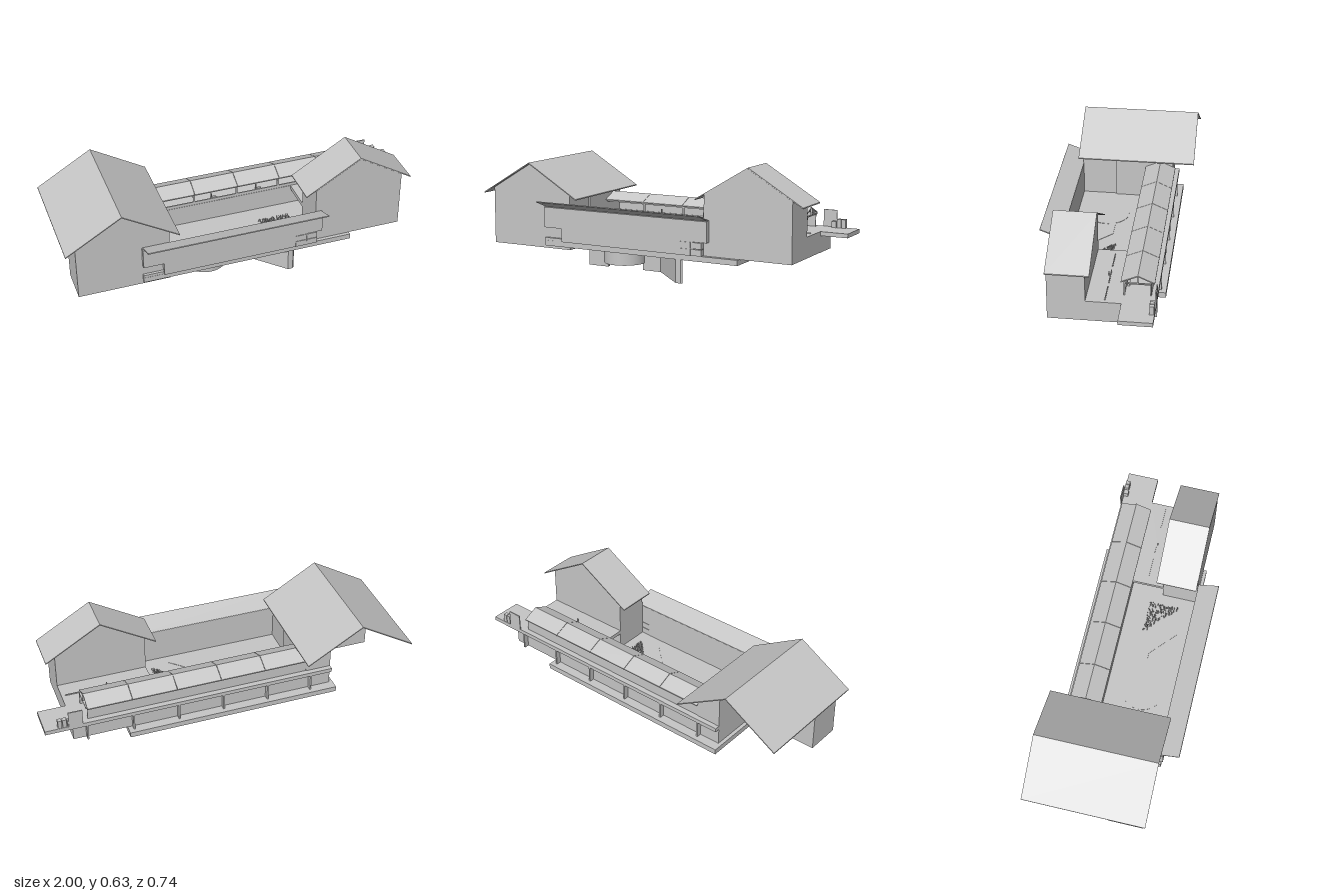
import * as THREE from 'three';

const grey = new THREE.MeshStandardMaterial({ color: 0xc6c6c6 });
grey.name = 'modelGrey';

export function createModel() {
  const root = new THREE.Group();
  root.name = 'courtyardBuilding';

  const add = (name, geo, parent = root) => {
    const m = new THREE.Mesh(geo, grey);
    m.name = name;
    parent.add(m);
    return m;
  };
  const group = (name) => {
    const g = new THREE.Group();
    g.name = name;
    root.add(g);
    return g;
  };
  // box given by its limits on each axis
  const box = (name, x0, x1, y0, y1, z0, z1, parent) =>
    add(name, new THREE.BoxGeometry(x1 - x0, y1 - y0, z1 - z0)
      .translate((x0 + x1) / 2, (y0 + y1) / 2, (z0 + z1) / 2), parent);
  const extrude = (pts, depth) => new THREE.ExtrudeGeometry(
    new THREE.Shape(pts.map(([a, b]) => new THREE.Vector2(a, b))), { depth, bevelEnabled: false });
  // (x, y) outline swept along z
  const prismZ = (name, pts, z0, z1, parent) =>
    add(name, extrude(pts, z1 - z0).translate(0, 0, z0), parent);
  // (z, y) outline swept along x
  const prismX = (name, pts, x0, x1, parent) =>
    add(name, extrude(pts, x1 - x0).rotateY(-Math.PI / 2).translate(x1, 0, 0), parent);
  // (x, z) outline swept up y
  const prismY = (name, pts, y0, y1, parent) =>
    add(name, extrude(pts.map(([x, z]) => [x, -z]), y1 - y0).rotateX(-Math.PI / 2).translate(0, y0, 0), parent);
  const chevron = (c, half, eave, top, t) => [
    [c - half, eave], [c, top], [c + half, eave], [c + half, eave - t], [c, top - t], [c - half, eave - t]];

  // base slab
  box('baseSlab', -0.6, 0.56, 0.126, 0.155, -0.305, 0.275);

  // two gabled houses
  const house = (name, c, top, wall, z0, z1, rz0, rz1) => {
    const g = group(name);
    const [x0, x1, y0] = wall;
    const under = (x) => top - 0.006 - 0.6 * Math.abs(x - c);
    prismZ('houseWalls', [[x0, y0], [x1, y0], [x1, under(x1)], [c, under(c)], [x0, under(x0)]], z0, z1, g);
    prismZ('gableRoof', chevron(c, 0.3, top - 0.18, top, 0.006), rz0, rz1, g);
    return g;
  };
  const left = house('leftHouse', -0.7, 0.574, [-0.945, -0.45, 0.11], 0.068, 0.259, -0.372, 0.281);
  house('rightHouse', 0.605, 0.626, [0.36, 0.85, 0.156], 0.067, 0.257, 0.038, 0.256);
  prismZ('rearWing', [[-0.58, 0.155], [-0.44, 0.155], [-0.44, 0.41], [-0.58, 0.495]], -0.253, 0.07, left);

  // front wall between the houses, with its lower steps and tilted awning
  const front = group('frontWall');
  prismZ('frontPanel', [[-0.6, 0.228], [-0.49, 0.228], [-0.49, 0.155], [0.31, 0.155], [0.31, 0.228],
    [0.39, 0.228], [0.39, 0.339], [-0.6, 0.339]], 0.257, 0.284, front);
  box('stepLeft', -0.6, -0.49, 0.155, 0.17, 0.257, 0.274, front);
  for (let i = 0; i < 2; i++)
    for (let j = 0; j < 2; j++)
      box('cornerPane', 0.24 + i * 0.062, 0.298 + i * 0.062, 0.157 + j * 0.036, 0.19 + j * 0.036, 0.257, 0.287, front);
  prismX('awning', [[0.258, 0.335], [0.369, 0.377], [0.367, 0.382], [0.258, 0.341]], -0.595, 0.39, front);

  // terrace and its hollow support at the right end
  const terrace = group('terrace');
  box('rearDeck', -0.58, 1.0, 0.245, 0.267, -0.28, -0.11, terrace);
  box('sideDeck', 0.36, 0.85, 0.245, 0.267, -0.11, 0.067, terrace);
  prismY('supportWalls', [[0.56, 0.067], [0.85, 0.067], [0.85, -0.11], [0.56, -0.11], [0.56, -0.06],
    [0.79, -0.06], [0.79, 0.017], [0.56, 0.017]], 0.204, 0.245, terrace);
  box('supportSide', 0.79, 0.85, 0.156, 0.204, -0.11, 0.067, terrace);
  for (let i = 0; i < 3; i++)
    box('railing', 0.4 + i * 0.155, 0.52 + i * 0.155, 0.267, 0.272, -0.03, -0.025, terrace);
  box('railPost', 0.6, 0.605, 0.267, 0.29, -0.022, -0.018, terrace);

  // lower storey under the rear deck
  const lower = group('lowerStorey');
  box('lowerWall', -0.5, 0.85, 0.155, 0.245, -0.253, -0.11, lower);
  for (let i = 0; i < 6; i++) {
    const x = -0.46 + i * 0.2475;
    box('windowDivider', x - 0.004, x + 0.004, 0.155, 0.245, -0.28, -0.253, lower);
  }

  // gallery: pitched roof, back wall, open front with posts
  const gallery = group('gallery');
  const joints = [-0.445, -0.2, 0.045, 0.287, 0.53, 0.77];
  for (let i = 0; i < 5; i++)
    prismX('galleryRoofPanel', chevron(-0.182, 0.084, 0.342, 0.379, 0.006),
      joints[i] + 0.001, joints[i + 1] - 0.001, gallery);
  box('galleryBackWall', -0.44, 0.768, 0.267, 0.338, -0.25, -0.244, gallery);
  box('frontBeam', -0.44, 0.768, 0.328, 0.338, -0.12, -0.112, gallery);
  box('frontSill', -0.44, 0.768, 0.267, 0.285, -0.118, -0.112, gallery);
  for (const x of joints) {
    box('galleryPost', x - 0.006, x + 0.004, 0.267, 0.338, -0.12, -0.112, gallery);
    box('tieBeam', x - 0.006, x + 0.004, 0.332, 0.338, -0.25, -0.112, gallery);
    box('kingPost', x - 0.006, x + 0.004, 0.338, 0.374, -0.185, -0.179, gallery);
  }
  // small seats inside the gallery
  for (const x of [-0.1, 0.16, 0.42, 0.66]) {
    box('seat', x, x + 0.03, 0.267, 0.285, -0.135, -0.122, gallery);
    box('seatBack', x, x + 0.004, 0.285, 0.308, -0.135, -0.122, gallery);
  }

  // furniture on the open deck end
  const deckEnd = group('deckFurniture');
  box('screenPanel', 0.8, 0.875, 0.267, 0.357, -0.283, -0.277, deckEnd);
  box('lowBox', 0.855, 0.88, 0.267, 0.3, -0.278, -0.252, deckEnd);
  box('planterBox', 0.884, 0.905, 0.267, 0.313, -0.278, -0.255, deckEnd);
  box('planterBox', 0.909, 0.93, 0.267, 0.313, -0.278, -0.255, deckEnd);

  // round basin with channels that run down below the slab
  const water = group('basinAndChannels');
  add('roundBasin', new THREE.CylinderGeometry(0.115, 0.115, 0.117, 40).translate(-0.208, 0.0985, 0.085), water);
  box('leftChannel', -0.44, -0.318, 0, 0.157, 0.064, 0.082, water);
  prismY('bentChannel', [[-0.104, 0.033], [0.012, 0.033], [0.24, 0.262], [0.232, 0.269], [0.205, 0.269],
    [0.005, 0.069], [-0.104, 0.069]], 0, 0.126, water);
  prismY('bentChannelTop', [[-0.104, 0.033], [0.012, 0.033], [0.19, 0.2], [0.15, 0.2], [0.005, 0.069],
    [-0.104, 0.069]], 0.126, 0.157, water);

  // triangular planting bed of low blades
  let seed = 7;
  const rand = () => (seed = (seed * 16807) % 2147483647) / 2147483647;
  const bed = group('plantingBed');
  for (let i = 0; i < 160; i++) {
    let u = rand(), v = rand();
    if (u + v > 1) { u = 1 - u; v = 1 - v; }
    const x = 0.12 + 0.18 * u + 0.18 * v, z = 0.005 + 0.17 * v;
    add('grassBlade', new THREE.ConeGeometry(0.004, 0.02 + 0.01 * rand(), 3)
      .rotateZ((rand() - 0.5) * 1.2).translate(Math.min(x, 0.3), 0.164, z), bed);
  }
  return root;
}
